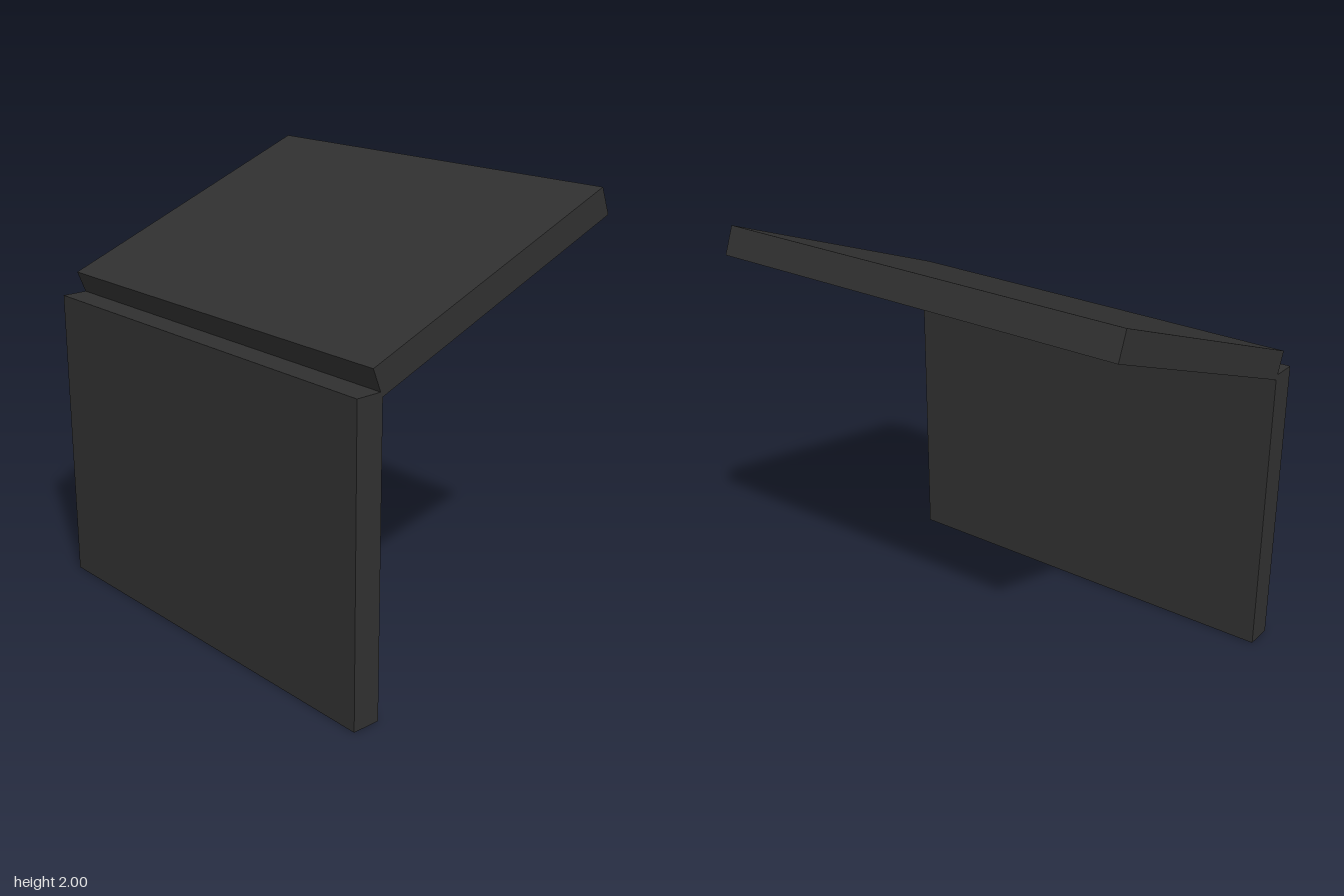
import * as THREE from 'three';

const WIDTH = 2, LENGTH = 1.39, THICK = 0.13;
const TILT = THREE.MathUtils.degToRad(21.6);

const casing = new THREE.MeshStandardMaterial({ color: 0x303030 });
casing.name = 'charcoal casing';
const glass = new THREE.MeshStandardMaterial({ color: 0x90b2b6 });
glass.name = 'pale teal screen';

function slab(name, height, depth) {
  const mesh = new THREE.Mesh(new THREE.BoxGeometry(WIDTH, height, depth), casing);
  mesh.name = name;
  return mesh;
}

// Rectangle with rounded corners, centred on the origin
function roundedRect(w, h, r) {
  const x = w / 2, y = h / 2;
  const s = new THREE.Shape();
  s.absarc(x - r, y - r, r, 0, Math.PI / 2);
  s.absarc(-x + r, y - r, r, Math.PI / 2, Math.PI);
  s.absarc(-x + r, -y + r, r, Math.PI, Math.PI * 1.5);
  s.absarc(x - r, -y + r, r, Math.PI * 1.5, Math.PI * 2);
  s.closePath();
  return s;
}

export function createModel() {
  const model = new THREE.Group();
  model.name = 'foldingDisplay';

  // Upright lower half
  const base = slab('uprightPanel', LENGTH, THICK);
  base.position.set(0, LENGTH / 2, 0.645);
  model.add(base);

  // Upper half, tilted up towards the back
  const lid = new THREE.Group();
  lid.name = 'tiltedLid';
  lid.position.set(0, 1.684, -0.04);
  lid.rotation.x = TILT;
  lid.add(slab('lidPanel', THICK, LENGTH));

  // Thin screen on the underside of the lid
  const screen = new THREE.Mesh(
    new THREE.ExtrudeGeometry(roundedRect(1.9, 1.27, 0.045), { depth: 0.004, bevelEnabled: false, curveSegments: 8 }),
    glass
  );
  screen.name = 'screen';
  screen.rotation.x = Math.PI / 2;
  screen.position.set(0, -THICK / 2 + 0.001, 0.005);
  lid.add(screen);

  model.add(lid);
  return model;
}
